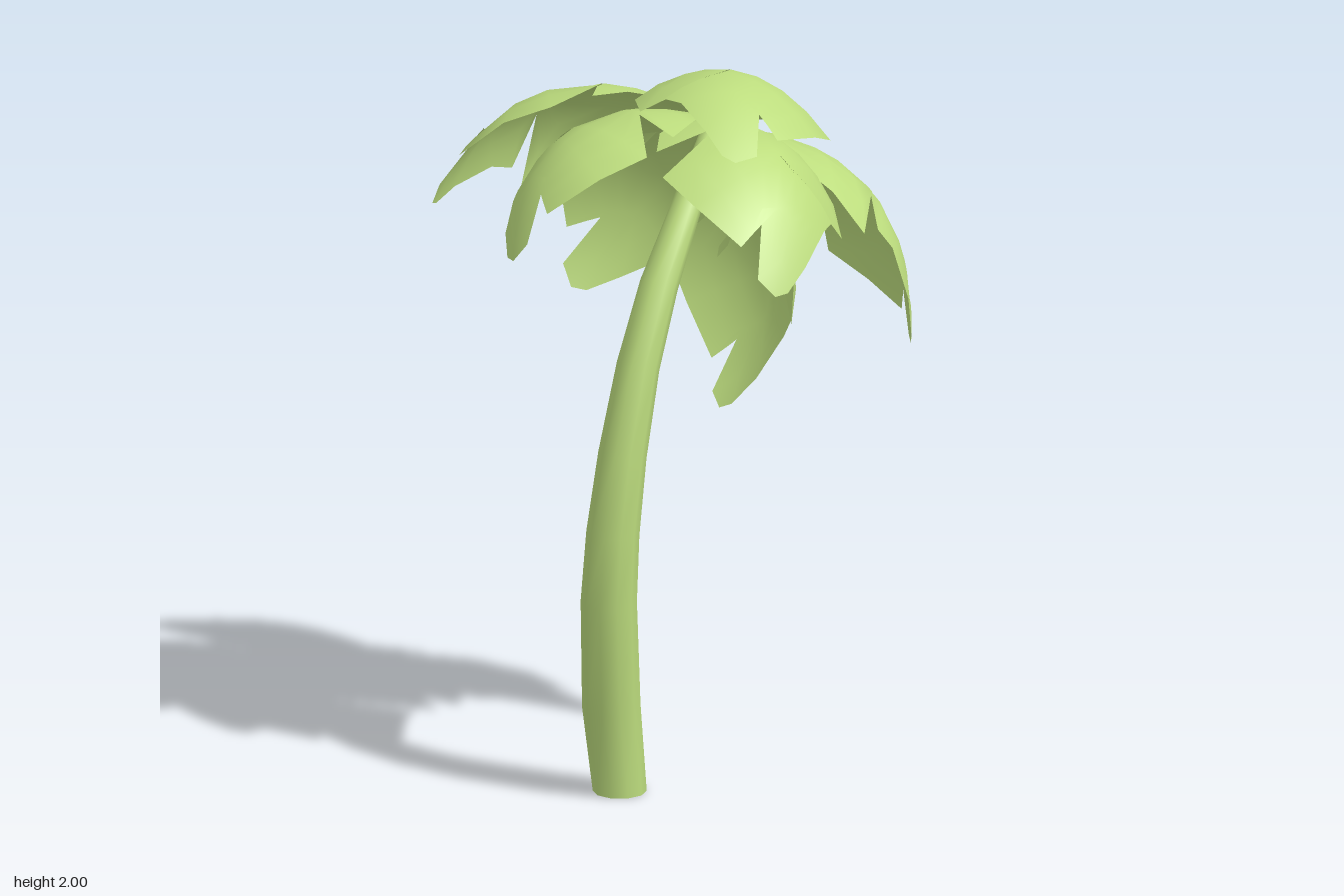
import * as THREE from 'three';

const V = (x, y, z) => new THREE.Vector3(x, y, z);

// Bent, tapering trunk: [x, y, z, radius] per ring
const TRUNK = [
  [-0.09, 0, 0.21, 0.071], [-0.097, 0.25, 0.258, 0.077], [-0.092, 0.55, 0.293, 0.074],
  [-0.08, 0.74, 0.295, 0.07], [-0.062, 0.95, 0.27, 0.064], [-0.038, 1.18, 0.213, 0.057],
  [-0.01, 1.38, 0.125, 0.051], [0.025, 1.57, -0.005, 0.04], [0.04, 1.72, -0.16, 0.03],
];

// Leaf outline, both sides from base to tip: [along, across], with cut notches
const SIDE_A = [[0, 0], [0.08, 0.13], [0.2, 0.234], [0.295, 0.27], [0.24, 0.12], [0.405, 0.28],
  [0.53, 0.225], [0.65, 0.113], [0.56, 0.065], [0.715, 0.057], [0.74, 0]];
const SIDE_B = [[0, 0], [0.115, 0.12], [0.175, 0.2], [0.35, 0.24], [0.48, 0.237], [0.395, 0.02],
  [0.49, 0.18], [0.545, 0.14], [0.66, 0.08], [0.725, 0.036], [0.74, 0]];
const RIB = [0, 0.05, 0.12, 0.18, 0.22, 0.36, 0.41, 0.53, 0.55, 0.67, 0.74];
const LENGTH = 0.74, ARCH = 0.2, DROOP = 1.9, HALF = 4;

// Arched leaf: x across, y out of the crown, z along
function frondGeometry(mirrored) {
  const [plus, minus] = mirrored ? [SIDE_B, SIDE_A] : [SIDE_A, SIDE_B];
  const pos = [], nor = [], idx = [];
  const cols = HALF * 2 + 1;
  RIB.forEach((rib, r) => {
    for (let c = -HALF; c <= HALF; c++) {
      const k = Math.abs(c) / HALF;
      const [es, et] = (c < 0 ? minus : plus)[r];
      const s = rib + (es - rib) * k;
      const t = Math.sign(c) * et * k;
      const u = s / LENGTH;
      pos.push(t, 4 * ARCH * u * (1 - u) - DROOP * t * t, s);
      const n = V(2 * DROOP * t, 1, -4 * ARCH * (1 - 2 * u) / LENGTH).normalize();
      nor.push(n.x, n.y, n.z);
    }
  });
  for (let r = 0; r < RIB.length - 1; r++) {
    for (let c = 0; c < cols - 1; c++) {
      const a = r * cols + c, b = a + 1, d = a + cols, e = d + 1;
      idx.push(a, d, b, b, d, e);
    }
  }
  const g = new THREE.BufferGeometry();
  g.setAttribute('position', new THREE.Float32BufferAttribute(pos, 3));
  g.setAttribute('normal', new THREE.Float32BufferAttribute(nor, 3));
  g.setIndex(idx);
  return g;
}

// Open tube whose rings follow the trunk line
function trunkGeometry() {
  const n = TRUNK.length - 1;
  const g = new THREE.CylinderGeometry(1, 1, 1, 10, n, true);
  const p = g.attributes.position;
  const centers = TRUNK.map(([x, y, z]) => V(x, y, z));
  for (let i = 0; i < p.count; i++) {
    const k = Math.round((p.getY(i) + 0.5) * n);
    // the lowest ring stays flat on the ground
    const tangent = k === 0 ? V(0, 1, 0)
      : centers[Math.min(k + 1, n)].clone().sub(centers[k - 1]).normalize();
    const turn = new THREE.Quaternion().setFromUnitVectors(V(0, 1, 0), tangent);
    const radial = V(p.getX(i), 0, p.getZ(i)).applyQuaternion(turn);
    const v = radial.clone().multiplyScalar(TRUNK[k][3]).add(centers[k]);
    p.setXYZ(i, v.x, v.y, v.z);
    g.attributes.normal.setXYZ(i, radial.x, radial.y, radial.z);
  }
  return g;
}

export function createModel() {
  const leafGreen = new THREE.MeshStandardMaterial({ color: 0xbddd7e, side: THREE.DoubleSide });
  leafGreen.name = 'leafGreen';
  const model = new THREE.Group();
  model.name = 'palmTree';

  const trunk = new THREE.Mesh(trunkGeometry(), leafGreen);
  trunk.name = 'trunk';
  model.add(trunk);

  // Fronds fan out around the leaning crown axis: [name, tip, roll, mirrored]
  const crown = V(0.025, 1.73, -0.17);
  const axis = V(0.05, 0.86, -0.5).normalize();
  const fronds = [
    ['frondTop', V(0.33, 1.87, 0.5), 0.12, false],
    ['frondFrontLeft', V(0.42, 1.49, 0.44), 0, true],
    ['frondLeft', V(0.61, 1.21, -0.11), 0, false],
    ['frondBack', V(0.05, 0.95, -0.19), 0.47, false],
    ['frondBackRight', V(-0.44, 1.16, -0.42), 0.6, false],
    ['frondRight', V(-0.61, 1.57, 0.21), 0.3, false],
    ['frondFrontRight', V(-0.29, 1.53, 0.49), 0.3, false],
  ];
  for (const [name, tip, roll, mirrored] of fronds) {
    const dir = tip.clone().sub(crown);
    const scale = dir.length() / LENGTH;
    dir.normalize();
    const out = axis.clone().addScaledVector(dir, -axis.dot(dir)).normalize()
      .applyAxisAngle(dir, roll);
    const side = out.clone().cross(dir);
    const frond = new THREE.Mesh(frondGeometry(mirrored), leafGreen);
    frond.name = name;
    frond.quaternion.setFromRotationMatrix(new THREE.Matrix4().makeBasis(side, out, dir));
    frond.position.copy(crown);
    frond.scale.set(1, 1, scale);
    model.add(frond);
  }
  return model;
}
